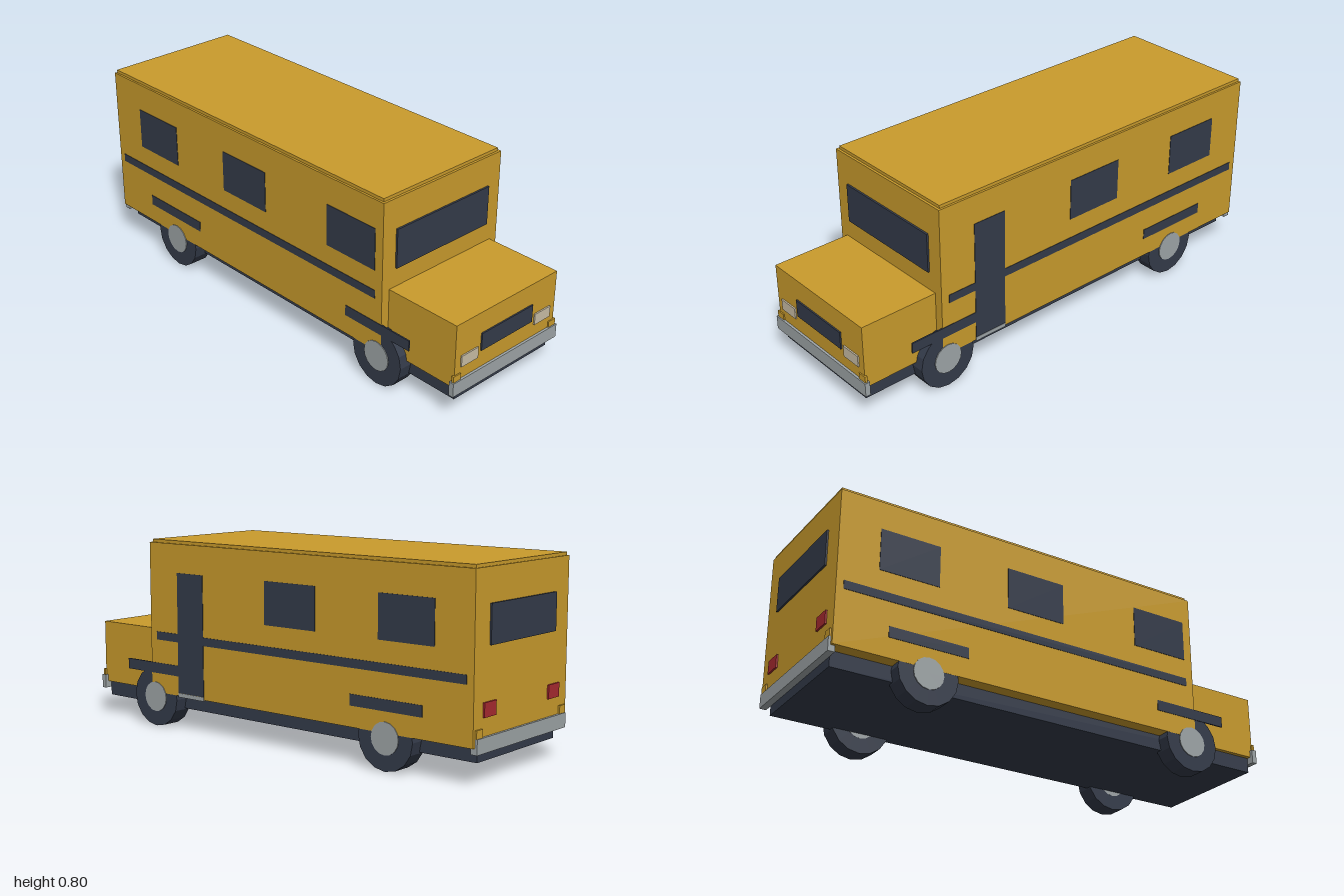
import * as THREE from 'three';

export function createModel() {
  const bus = new THREE.Group();
  bus.name = 'bus';

  const mat = (name, color) => {
    const m = new THREE.MeshStandardMaterial({ color });
    m.name = name;
    return m;
  };
  const yellow = mat('yellow paint', 0xc99b2c);
  const dark = mat('dark slate', 0x343b4a);
  const grey = mat('grey metal', 0x9ea5a7);
  const cream = mat('cream lamp', 0xc9bea6);
  const red = mat('red lamp', 0xa82a30);

  // Box given by its extents on each axis
  const box = (name, material, [x0, x1], [y0, y1], [z0, z1]) => {
    const mesh = new THREE.Mesh(new THREE.BoxGeometry(x1 - x0, y1 - y0, z1 - z0), material);
    mesh.position.set((x0 + x1) / 2, (y0 + y1) / 2, (z0 + z1) / 2);
    mesh.name = name;
    bus.add(mesh);
  };
  // Thin plate on the left (+1) or right (-1) wall
  const sidePlate = (name, material, side, y, z) =>
    box(name, material, side > 0 ? [0.313, 0.319] : [-0.319, -0.313], y, z);
  // The same box on both sides of the centre line
  const pair = (name, material, [x0, x1], y, z) => {
    box(name, material, [x0, x1], y, z);
    box(name, material, [-x1, -x0], y, z);
  };

  // Main shell
  box('body', yellow, [-0.317, 0.317], [0.147, 0.787], [-0.99, 0.652]);
  box('roof', yellow, [-0.308, 0.308], [0.787, 0.8], [-0.985, 0.642]);
  box('hood', yellow, [-0.28, 0.28], [0.147, 0.415], [0.652, 0.99]);
  box('chassis', dark, [-0.262, 0.262], [0.083, 0.147], [-0.972, 0.978]);

  // Front details
  box('windshield', dark, [-0.25, 0.25], [0.495, 0.66], [0.652, 0.66]);
  box('grille', dark, [-0.143, 0.143], [0.25, 0.325], [0.988, 0.996]);
  pair('headlight', cream, [0.16, 0.25], [0.228, 0.275], [0.988, 0.996]);
  pair('frontMarker', yellow, [0.25, 0.289], [0.175, 0.202], [0.985, 0.995]);
  box('frontBumper', grey, [-0.294, 0.294], [0.118, 0.176], [0.978, 1]);

  // Rear details
  box('rearWindow', dark, [-0.222, 0.222], [0.507, 0.657], [-0.997, -0.989]);
  pair('tailLight', red, [0.18, 0.257], [0.25, 0.305], [-0.997, -0.989]);
  pair('rearMarker', yellow, [0.265, 0.305], [0.18, 0.212], [-0.997, -0.988]);
  box('rearBumper', grey, [-0.305, 0.305], [0.122, 0.18], [-1, -0.972]);

  // Side windows, stripes and fender trims
  const windows = [[-0.82, -0.565], [-0.26, 0], [0.355, 0.613]];
  for (const side of [1, -1]) {
    windows.forEach((z, i) => {
      if (side < 0 || i < 2) sidePlate('sideWindow', dark, side, [0.495, 0.67], z);
    });
    sidePlate('sideStripe', dark, side, [0.375, 0.41], [-0.96, 0.617]);
    sidePlate('frontFenderTrim', dark, side, [0.23, 0.275], [0.46, 0.797]);
    sidePlate('rearFenderTrim', dark, side, [0.23, 0.275], [-0.77, -0.432]);
  }

  // Entry door and step on the left side
  sidePlate('door', dark, 1, [0.16, 0.667], [0.342, 0.49]);
  box('doorStep', grey, [0.26, 0.319], [0.142, 0.159], [0.342, 0.49]);

  // Wheels with hubs standing just proud of the wall
  const cylinder = (name, material, radius, width) => {
    const g = new THREE.CylinderGeometry(radius, radius, width, 16).rotateZ(Math.PI / 2);
    const flat = g.toNonIndexed();
    flat.computeVertexNormals();
    const mesh = new THREE.Mesh(flat, material);
    mesh.name = name;
    return mesh;
  };
  for (const side of [1, -1]) {
    for (const z of [0.63, -0.6]) {
      const wheel = new THREE.Group();
      wheel.name = z > 0 ? 'frontWheel' : 'rearWheel';
      const hub = cylinder('hub', grey, 0.064, 0.083);
      hub.position.x = side * 0.0015;
      wheel.add(cylinder('tire', dark, 0.127, 0.079), hub);
      wheel.position.set(side * 0.277, 0.127, z);
      bus.add(wheel);
    }
  }
  return bus;
}
